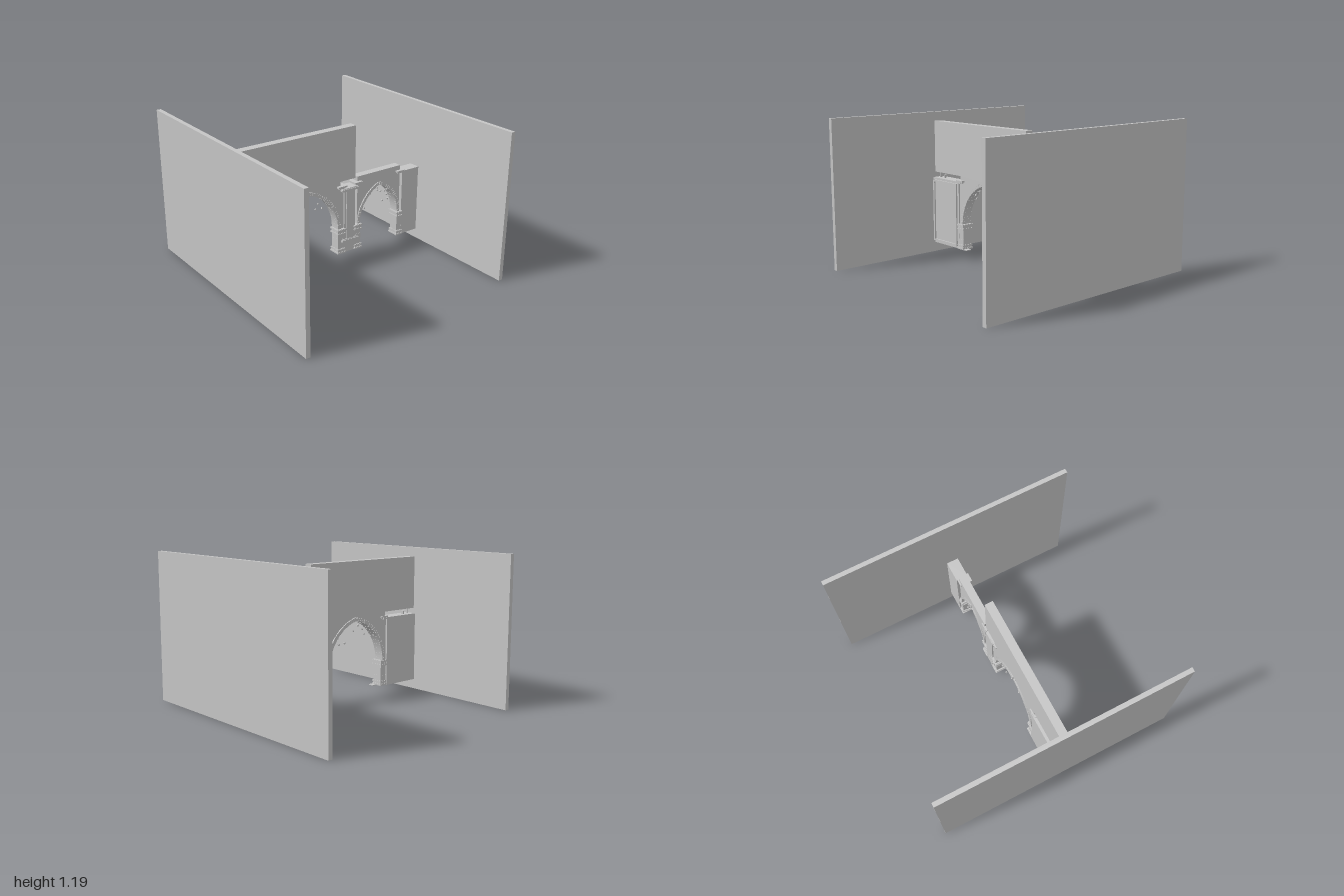
import * as THREE from 'three';

export function createModel() {
  const model = new THREE.Group();
  const stone = new THREE.MeshStandardMaterial({ color: 0xc4c4c4 });
  stone.name = 'grey stone';

  let seed = 7;
  const rand = () => (seed = (seed * 16807) % 2147483647) / 2147483647;

  const add = (geo, name, parent = model) => {
    const m = new THREE.Mesh(geo, stone);
    m.name = name;
    parent.add(m);
    return m;
  };
  // box given by its limits on each axis
  const box = (name, x0, x1, y0, y1, z0, z1, parent) => {
    const m = add(new THREE.BoxGeometry(x1 - x0, y1 - y0, z1 - z0), name, parent);
    m.position.set((x0 + x1) / 2, (y0 + y1) / 2, (z0 + z1) / 2);
    return m;
  };
  const group = (name) => {
    const g = new THREE.Group();
    g.name = name;
    model.add(g);
    return g;
  };

  // pointed arch: two arcs with centres offset past the middle
  const SPRING = 0.29;
  const arch = (cx, half, rise, t) => {
    const R = (half * half + rise * rise) / (2 * half);
    return { cx, R, off: R - half, t };
  };
  const archPoints = (a, grow, n = 18) => {
    const r = a.R + grow, end = Math.acos(a.off / r), left = [];
    for (let i = 0; i <= n; i++) {
      const k = (end * i) / n;
      left.push([a.off - r * Math.cos(k), SPRING + r * Math.sin(k)]);
    }
    const right = left.slice(0, -1).reverse().map(([x, y]) => [-x, y]);
    return [...left, ...right].map(([x, y]) => new THREE.Vector2(a.cx + x, y));
  };
  const wall = (name, outline, a, z0, z1) => {
    // outline runs from the right spring around the top to the left spring
    const pts = [...archPoints(a, 0.01), ...outline.map(([x, y]) => new THREE.Vector2(x, y))];
    const geo = new THREE.ExtrudeGeometry(new THREE.Shape(pts), { depth: z1 - z0, bevelEnabled: false });
    add(geo, name).position.z = z0;
  };
  const voussoirs = (name, a, count) => {
    const g = group(name), end = Math.acos(a.off / a.R), step = end / count;
    for (const s of [-1, 1]) {
      for (let i = 0; i < count; i++) {
        const k = (i + 0.5) * step, t = a.t * (0.92 + 0.16 * rand()), r = a.R + a.t / 2;
        const depth = 0.08 + 0.006 * rand();
        const m = add(new THREE.BoxGeometry(t, a.R * step * 0.97, depth), 'voussoir', g);
        m.position.set(a.cx + s * (r * Math.cos(k) - a.off), SPRING + r * Math.sin(k), -0.003);
        m.rotation.z = s * k;
      }
    }
  };

  // tall side walls
  for (const s of [-1, 1]) {
    box(s > 0 ? 'leftSideWall' : 'rightSideWall', s * 0.895 - 0.0175, s * 0.895 + 0.0175, 0, 1.187, -1, 1);
  }

  // arched walls
  const big = arch(-0.222, 0.285, 0.355, 0.027);
  const small = arch(0.472, 0.193, 0.285, 0.024);
  wall('largeArchWall', [
    [0.125, 0.29], [0.125, 0.64], [0.09, 0.64], [0.09, 0.685], [0.234, 0.685], [0.234, 1.112],
    [-0.88, 1.112], [-0.88, 0.685], [-0.54, 0.685], [-0.54, 0.64], [-0.56, 0.64], [-0.56, 0.29],
  ], big, -0.035, 0.03);
  wall('smallArchWall', [[0.69, 0.29], [0.69, 0.69], [0.255, 0.69], [0.255, 0.29]], small, -0.035, 0.03);
  voussoirs('largeArchRing', big, 25);
  voussoirs('smallArchRing', small, 20);

  // piers with coursed shafts, moulded bases and capitals
  const pier = (name, x0, x1) => {
    const g = group(name);
    for (let i = 0; i < 5; i++) {
      const j = 0.003 * rand(), y = 0.08 + i * 0.042;
      box('course', x0 + j, x1 - j, y, y + 0.042, -0.04 + j, 0.043 - j, g);
    }
    const bands = [[0.08, 0.096, 0.008], [0.096, 0.106, 0.002], [0.106, 0.12, 0.006],
      [0.243, 0.258, 0.008], [0.258, 0.274, 0.002], [0.274, 0.29, 0.009]];
    for (const [y0, y1, out] of bands) {
      box('moulding', x0 - out, x1 + out, y0 + 0.003, y1 - 0.003, -0.041 - out, 0.046 + out, g);
      box('mouldingCore', x0 - out * 0.6, x1 + out * 0.6, y0, y1, -0.041 - out * 0.6, 0.046 + out * 0.6, g);
    }
  };
  pier('largeArchRightPier', -0.555, -0.493);
  pier('largeArchLeftPier', 0.058, 0.122);
  pier('smallArchRightPier', 0.223, 0.283);
  pier('smallArchLeftPier', 0.66, 0.711);
  box('fallenSlab', -0.51, -0.447, 0.08, 0.086, 0, 0.05);

  // small cap slabs under the wall tops
  for (const [x0, x1] of [[-0.565, -0.49], [0.055, 0.137], [0.215, 0.29], [0.645, 0.72]]) {
    box('capSlab', x0, x1, 0.64, 0.652, -0.045, 0.056);
    box('capSlabNeck', x0 + 0.012, x1 - 0.012, 0.628, 0.64, -0.038, 0.046);
  }

  // framed panel beside the large arch
  box('rightPanel', -0.88, -0.55, 0.08, 0.625, -0.05, 0.042);
  box('rightPanelCornice', -0.88, -0.515, 0.625, 0.64, -0.05, 0.05);
  const frame = group('rightPanelFrame');
  box('frameBottom', -0.88, -0.57, 0.098, 0.113, 0.042, 0.055, frame);
  box('frameTop', -0.88, -0.57, 0.605, 0.62, 0.042, 0.055, frame);
  box('frameSide', -0.88, -0.862, 0.113, 0.605, 0.042, 0.055, frame);
  box('frameSide', -0.583, -0.57, 0.113, 0.605, 0.042, 0.055, frame);
  box('post', -0.838, -0.83, 0.64, 0.685, -0.01, 0.01);
  box('post', -0.785, -0.775, 0.64, 0.665, -0.01, 0.01);

  // plain panel beside the small arch
  box('leftPanel', 0.706, 0.88, 0.08, 0.626, -0.05, 0.042);
  box('leftPanelCornice', 0.706, 0.88, 0.626, 0.64, -0.05, 0.045);

  // pilaster between the arches
  box('pilaster', 0.12, 0.225, 0.08, 0.61, -0.045, 0.042);
  box('pilasterFace', 0.138, 0.207, 0.19, 0.6, 0.042, 0.049);
  for (const y of [0.175, 0.605]) {
    box('pilasterMoulding', 0.09, 0.25, y, y + 0.014, -0.046, 0.058);
    box('pilasterMouldingNeck', 0.1, 0.24, y - 0.006, y + 0.02, -0.044, 0.052);
  }

  // loose stones scattered below the arches
  const chips = group('looseStones');
  const spots = [[-0.41, 0.51], [-0.345, 0.555], [-0.305, 0.53], [-0.3, 0.59], [-0.19, 0.565],
    [-0.125, 0.555], [-0.1, 0.48], [-0.085, 0.51], [-0.04, 0.475], [0.325, 0.405], [0.36, 0.49],
    [0.385, 0.515], [0.425, 0.56], [0.455, 0.53], [0.51, 0.515], [0.53, 0.505], [0.545, 0.48],
    [0.555, 0.515], [0.565, 0.39], [0.565, 0.43], [0.61, 0.435]];
  spots.forEach(([x, y], i) => {
    const m = add(new THREE.BoxGeometry(0.012, 0.011, 0.01), 'stoneChip', chips);
    m.position.set(x, y, i % 2 ? 0.03 : -0.035);
    m.rotation.z = rand() * 1.5;
  });

  return model;
}
